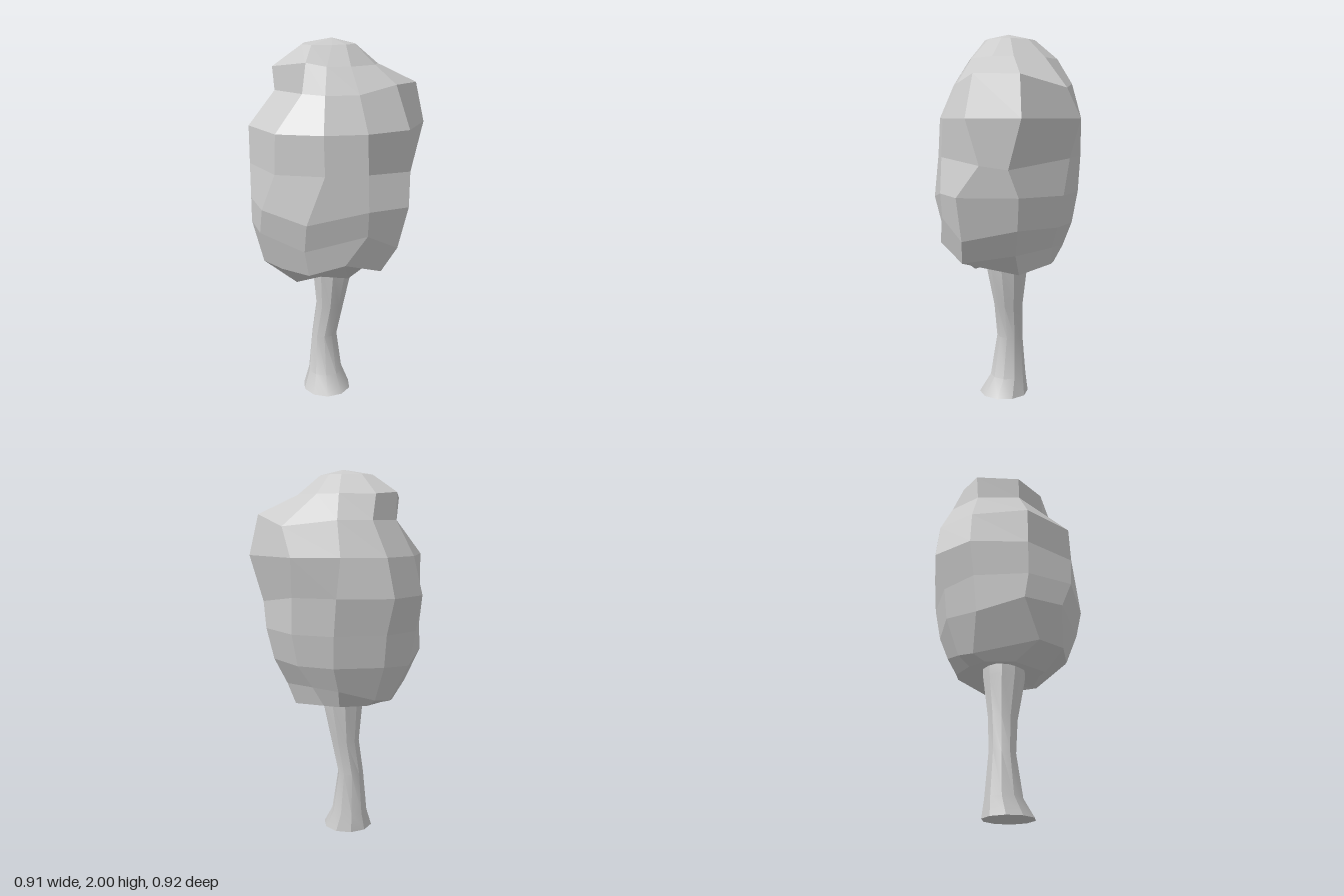
import * as THREE from 'three';
import { toCreasedNormals } from 'three/addons/utils/BufferGeometryUtils.js';

const SIDES = 10;

// Builds a closed surface from rings of equal point count and two end points.
// Each four-cornered face is shaded as one flat facet.
function loft(rings, bottom, top) {
  const pos = [];
  const normals = [];
  const face = (...corners) => {
    const [a, b, c, d] = corners.map((p) => new THREE.Vector3(...p));
    const normal = d
      ? c.clone().sub(a).cross(d.clone().sub(b)).normalize()
      : b.clone().sub(a).cross(c.clone().sub(a)).normalize();
    for (const p of d ? [a, b, c, a, c, d] : [a, b, c]) {
      pos.push(p.x, p.y, p.z);
      normals.push(normal.x, normal.y, normal.z);
    }
  };
  const last = rings[rings.length - 1];
  for (let k = 0; k < SIDES; k++) {
    const j = (k + 1) % SIDES;
    face(bottom, rings[0][k], rings[0][j]);
    for (let i = 0; i < rings.length - 1; i++) {
      face(rings[i][k], rings[i + 1][k], rings[i + 1][j], rings[i][j]);
    }
    face(top, last[j], last[k]);
  }
  const g = new THREE.BufferGeometry();
  g.setAttribute('position', new THREE.Float32BufferAttribute(pos, 3));
  g.setAttribute('normal', new THREE.Float32BufferAttribute(normals, 3));
  return g;
}

// Trunk sections: height, centre x, centre z, radius x, radius z
const TRUNK = [
  [0.00, 0.002, 0.028, 0.138, 0.138],
  [0.10, -0.022, 0.018, 0.100, 0.100],
  [0.33, -0.033, 0.017, 0.070, 0.075],
  [0.52, -0.007, -0.003, 0.079, 0.080],
  [0.75, 0.008, -0.008, 0.115, 0.115],
  [0.85, 0.012, -0.010, 0.120, 0.120],
];

// Direction of each canopy column in degrees, from +x towards +z
const ANGLES = [10, 44, 79, 121, 160, 191, 229, 257, 301, 336];

// Canopy rings: height, then one radius per column
const CANOPY = [
  [0.745, 0.20, 0.19, 0.26, 0.27, 0.23, 0.23, 0.26, 0.27, 0.28, 0.22],
  [0.82, 0.37, 0.34, 0.37, 0.38, 0.30, 0.30, 0.31, 0.30, 0.32, 0.355],
  [1.00, 0.39, 0.40, 0.44, 0.43, 0.38, 0.38, 0.36, 0.37, 0.39, 0.42],
  [1.17, 0.40, 0.43, 0.46, 0.43, 0.42, 0.40, 0.39, 0.41, 0.43, 0.475],
  [1.36, 0.39, 0.38, 0.43, 0.43, 0.455, 0.465, 0.40, 0.43, 0.44, 0.44],
  [1.56, 0.38, 0.37, 0.42, 0.43, 0.41, 0.43, 0.40, 0.473, 0.51, 0.45],
  [1.74, 0.295, 0.29, 0.25, 0.29, 0.315, 0.34, 0.35, 0.445, 0.46, 0.37],
  [1.87, 0.21, 0.20, 0.235, 0.30, 0.32, 0.295, 0.27, 0.25, 0.25, 0.24],
  [1.97, 0.125, 0.12, 0.16, 0.16, 0.175, 0.175, 0.15, 0.14, 0.13, 0.13],
];

// Corners that leave the regular grid, 'ring,column': [turn in degrees, lift]
const NUDGE = {
  '0,1': [0, 0.025], '0,2': [4, -0.015], '0,3': [5, -0.005], '0,4': [4, 0.02], '0,5': [0, 0.02],
  '0,6': [0, 0.03], '0,7': [-10, 0.035], '0,8': [-5, 0.005], '0,9': [0, 0.045],
  '1,0': [17, 0.07], '1,1': [14, 0], '1,2': [3, 0.02], '1,3': [-11, 0.01], '1,4': [10, -0.03],
  '1,5': [0, -0.01], '1,6': [0, 0.05], '1,7': [0, 0.06], '1,8': [0, 0.04], '1,9': [14, -0.01],
  '2,0': [0, 0.04], '2,1': [14, -0.03], '2,2': [16, 0.03], '2,3': [3, 0.03], '2,4': [0, -0.02],
  '2,6': [3, 0], '2,7': [7, 0], '2,9': [6, -0.06],
  '3,1': [11, -0.05], '3,2': [9, 0], '3,6': [2, 0], '3,7': [7, 0], '3,9': [5, 0],
  '4,1': [-1, 0], '4,4': [1, 0], '4,7': [4, 0], '4,8': [7, -0.05], '4,9': [-9, -0.03],
  '5,4': [3, 0], '5,5': [3, 0], '5,6': [-3, 0],
  '6,2': [-6, 0], '6,4': [6, 0], '6,5': [8, 0], '6,7': [10, -0.03], '6,8': [0, 0.03], '6,9': [0, 0.04],
  '7,2': [-9, 0.02], '7,3': [1, -0.01], '7,4': [7, 0.01], '7,9': [-9, 0],
  '8,0': [-10, 0], '8,1': [-9, 0], '8,2': [-4, 0], '8,3': [-18, 0], '8,4': [7, 0], '8,5': [2, 0], '8,9': [-14, 0],
};

export function createModel() {
  const model = new THREE.Group();
  const material = new THREE.MeshStandardMaterial({ color: 0xcccccc });

  // Bent trunk with a flared foot, smooth along its length and creased between sides
  const trunkRings = TRUNK.map(([y, cx, cz, rx, rz]) =>
    Array.from({ length: SIDES }, (_, k) => {
      const a = (k / SIDES) * Math.PI * 2;
      return [cx + rx * Math.cos(a), y, cz + rz * Math.sin(a)];
    }));
  const trunkShape = loft(trunkRings, [0, 0, 0.028], [0.01, 0.86, -0.01]);
  const trunk = new THREE.Mesh(toCreasedNormals(trunkShape, 0.6), material);
  trunk.name = 'trunk';
  model.add(trunk);

  // Lumpy faceted crown with a hollow underside
  const crownRings = CANOPY.map(([y, ...radii], i) =>
    radii.map((r, k) => {
      const [turn, lift] = NUDGE[`${i},${k}`] ?? [0, 0];
      const a = THREE.MathUtils.degToRad(ANGLES[k] + turn);
      return [r * Math.cos(a), y + lift, r * Math.sin(a)];
    }));
  const crown = new THREE.Mesh(loft(crownRings, [0, 0.83, 0], [0, 2, -0.01]), material);
  crown.name = 'crown';
  model.add(crown);

  return model;
}
